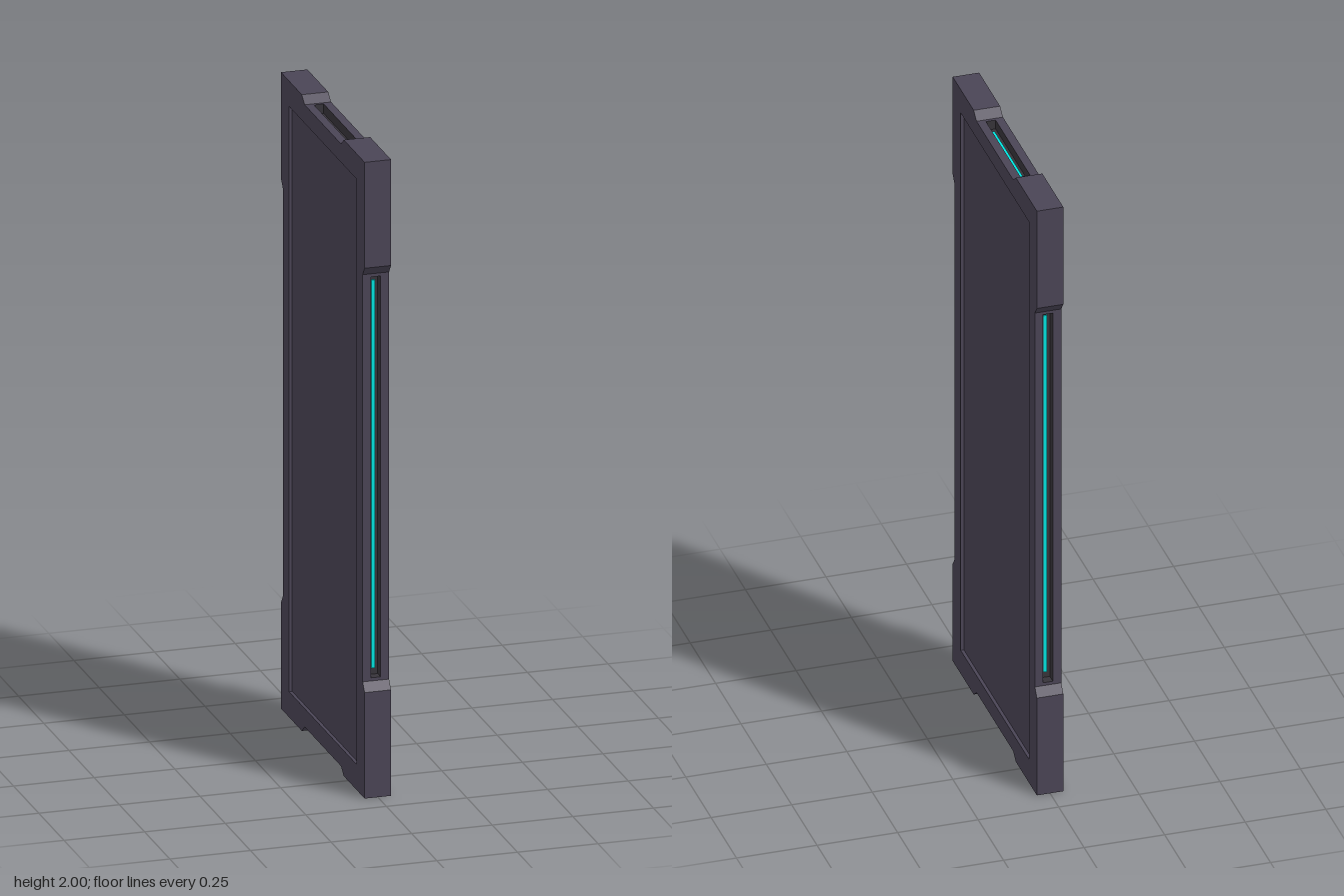
import * as THREE from 'three';
import { mergeGeometries } from 'three/addons/utils/BufferGeometryUtils.js';

const HALF = 0.041;          // half thickness of the slab
const SLOT = 0.015;          // half width of the edge slots
const SLOT_DEPTH = 0.03;

const mat = (color) => new THREE.MeshStandardMaterial({ color });
const bodyMat = mat(0x4a4455), slotMat = mat(0x37343a), glowMat = mat(0x00e5e0);

function rectPoints(cx, hx, hy, cy = 0) {
  return [[-hx, -hy], [hx, -hy], [hx, hy], [-hx, hy]].map(([x, y]) => new THREE.Vector2(cx + x, cy + y));
}

// Open box seen from inside: mouth at z = 0, floor at z = -d
function recess(w, h, d) {
  const g = new THREE.BoxGeometry(w, h, d).translate(0, 0, -d / 2);
  const idx = Array.from(g.index.array);
  idx.splice(24, 6);
  g.setIndex(idx.reverse());
  const open = g.toNonIndexed();
  open.computeVertexNormals();
  return open;
}

export function createModel() {
  const model = new THREE.Group();
  const add = (name, geo, material, matrix) => {
    const mesh = new THREE.Mesh(matrix ? geo.applyMatrix4(matrix) : geo, material);
    mesh.name = name;
    model.add(mesh);
  };

  // Notched outline as [z, y], a quarter mirrored around the centre
  const quarter = [[0.18, 0.978], [0.208, 1], [0.415, 1], [0.415, 0.667], [0.395, 0.64]];
  const flip = (sz, sy) => quarter.map(([z, y]) => [z * sz, y * sy]);
  const outline = [
    ...flip(1, 1), ...flip(1, -1).reverse(), ...flip(-1, -1), ...flip(-1, 1).reverse(),
  ].map(([z, y]) => new THREE.Vector2(z, y + 1));

  // Rim walls, with a slot and a light strip in the middle of each side
  const parts = [];
  outline.forEach((a, i) => {
    const b = outline[(i + 1) % outline.length];
    const len = a.distanceTo(b);
    const u = new THREE.Vector3(0, b.y - a.y, b.x - a.x).normalize();
    const v = new THREE.Vector3(1, 0, 0);
    const frame = new THREE.Matrix4().makeBasis(u, v, u.clone().cross(v))
      .setPosition(0, (a.y + b.y) / 2, (a.x + b.x) / 2);
    const wall = new THREE.Shape(rectPoints(0, len / 2, HALF));
    if (i % 5 === 4) {
      const slotLen = len - 0.02;
      wall.holes.push(new THREE.Path(rectPoints(0, slotLen / 2, SLOT)));
      add('edgeSlot', recess(slotLen, SLOT * 2, SLOT_DEPTH), slotMat, frame);
      add('lightStrip', new THREE.BoxGeometry(slotLen - 0.04, 0.011, 0.004)
        .translate(0, 0, 0.002 - SLOT_DEPTH), glowMat, frame);
    }
    parts.push(new THREE.ShapeGeometry(wall).toNonIndexed().applyMatrix4(frame));
  });

  // Two broad faces, each with a shallow sunken panel
  for (const s of [1, -1]) {
    const face = new THREE.Shape(outline);
    face.holes.push(new THREE.Path(rectPoints(0, 0.336, 0.92, 1)));
    const place = new THREE.Matrix4().makeRotationY(s * Math.PI / 2).setPosition(s * HALF, 0, 0);
    parts.push(new THREE.ShapeGeometry(face).toNonIndexed().applyMatrix4(place));
    add('sunkenPanel', recess(0.672, 1.84, 0.01).translate(0, 1, 0), bodyMat, place);
  }
  add('slabFrame', mergeGeometries(parts), bodyMat);
  return model;
}
